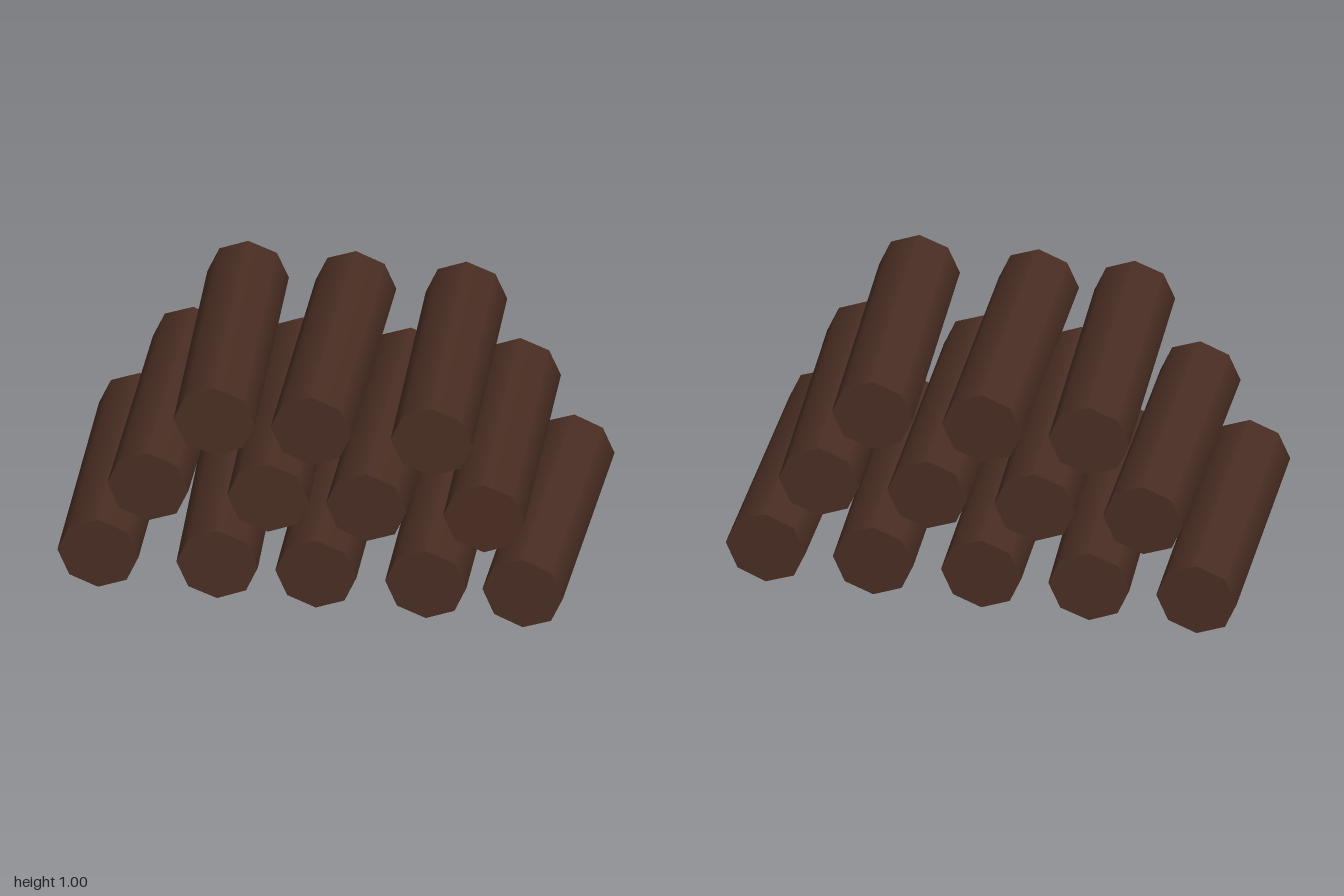
import * as THREE from 'three';

const RADIUS = 0.157;
const LENGTH = 0.98;
const DROP = 0.0075; // front ends sit slightly higher than back ends

// Each row: centre height and [front x, back x] of every log
const ROWS = [
  { name: 'bottomLog', y: 0.166, logs: [[-0.843, -0.84], [-0.382, -0.42], [0, 0], [0.425, 0.422], [0.8, 0.842]] },
  { name: 'middleLog', y: 0.504, logs: [[-0.65, -0.632], [-0.185, -0.209], [0.195, 0.21], [0.65, 0.633]] },
  { name: 'topLog', y: 0.842, logs: [[-0.393, -0.42], [-0.019, -0.003], [0.447, 0.425]] },
];

export function createModel() {
  const group = new THREE.Group();
  group.name = 'logPile';

  const bark = new THREE.MeshStandardMaterial({ color: 0x4a2e23 });
  bark.name = 'darkBrownWood';

  // Eight-sided log lying along z, with a corner at the top
  const logGeometry = new THREE.CylinderGeometry(RADIUS, RADIUS, LENGTH, 8);
  logGeometry.rotateX(Math.PI / 2);

  for (const row of ROWS) {
    row.logs.forEach(([frontX, backX], i) => {
      const log = new THREE.Mesh(logGeometry, bark);
      log.name = `${row.name}${i + 1}`;
      log.position.set((frontX + backX) / 2, row.y, 0);
      // Aim the log's +z axis at its front end
      log.lookAt(frontX, row.y + DROP, LENGTH / 2);
      group.add(log);
    });
  }
  return group;
}
